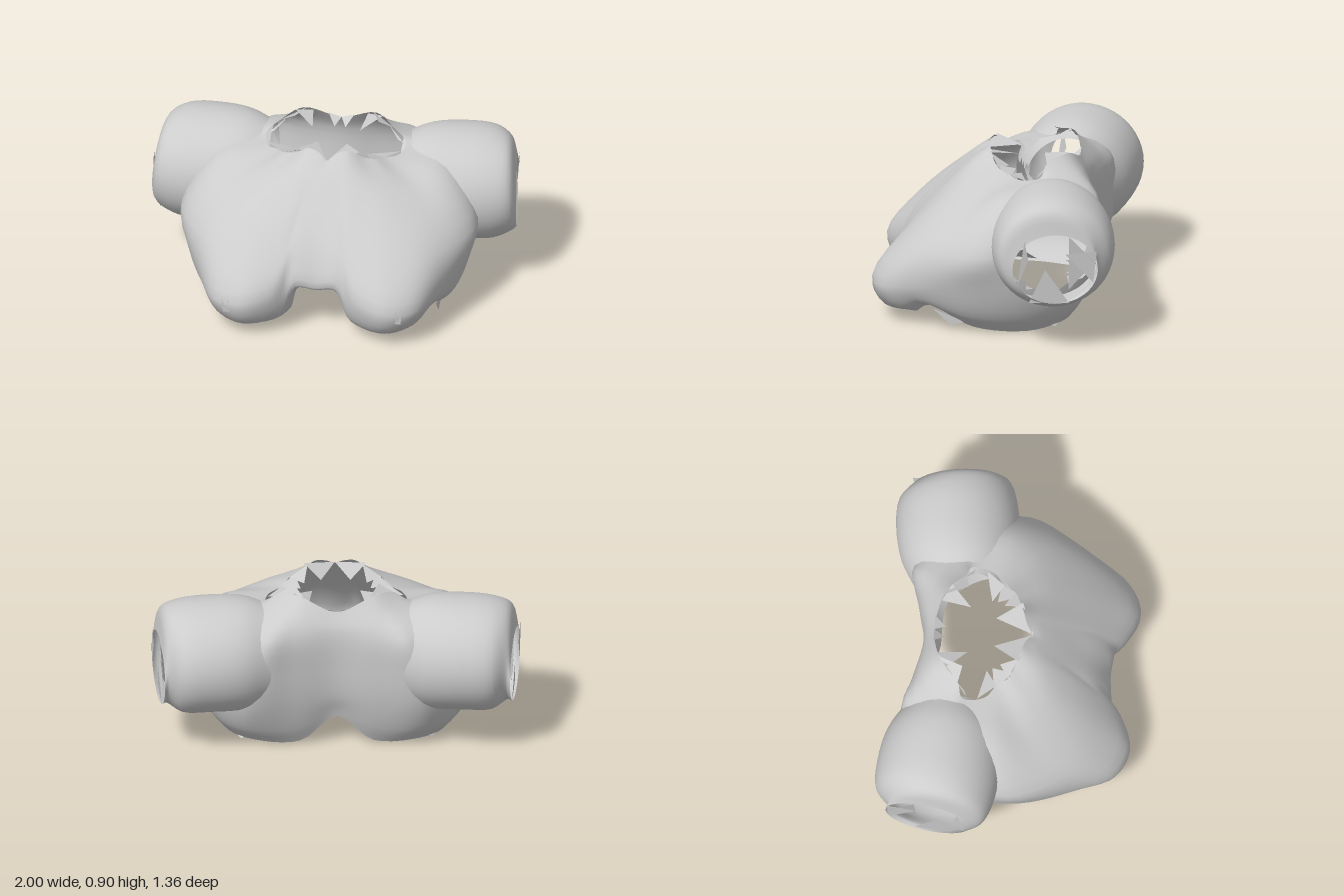
import * as THREE from 'three';

const cloth = new THREE.MeshStandardMaterial({ color: 0xcccccc, side: THREE.DoubleSide });
cloth.name = 'light grey shell';

// Smooth skin through a closed loop of columns; keep(x, y, z) cuts openings by triangle centre.
function loft(columns, perColumn, perRow, keep) {
  const curves = columns.map(c => new THREE.CatmullRomCurve3(c.map(p => new THREE.Vector3(...p))));
  const nu = columns.length * perColumn, nv = (columns[0].length - 1) * perRow;
  const pos = [], index = [];
  for (let j = 0; j <= nv; j++) {
    const ring = new THREE.CatmullRomCurve3(curves.map(c => c.getPoint(j / nv)), true);
    for (let i = 0; i < nu; i++) pos.push(...ring.getPoint(i / nu).toArray());
  }
  const mid = (t, k) => (pos[t[0] * 3 + k] + pos[t[1] * 3 + k] + pos[t[2] * 3 + k]) / 3;
  for (let j = 0; j < nv; j++) for (let i = 0; i < nu; i++) {
    const a = j * nu + i, b = j * nu + (i + 1) % nu, c = b + nu, d = a + nu;
    for (const t of [[a, b, c], [a, c, d]])
      if (keep(mid(t, 0), mid(t, 1), mid(t, 2))) index.push(...t);
  }
  const g = new THREE.BufferGeometry();
  g.setAttribute('position', new THREE.Float32BufferAttribute(pos, 3));
  g.setIndex(index);
  g.computeVertexNormals();
  return g;
}

// Torn pointed flaps, each a triangle of base, base, tip.
function flaps(list, side) {
  const pos = [];
  for (const t of list) {
    const pts = side > 0 ? t : [t[1], t[0], t[2]];
    for (const [x, y, z] of pts) pos.push(x * side, y, z);
  }
  const g = new THREE.BufferGeometry();
  g.setAttribute('position', new THREE.Float32BufferAttribute(pos, 3));
  g.computeVertexNormals();
  return g;
}

// Half-body columns from hem to neck, front centre round to the side
const frontColumns = [
  [[0, .24, .48], [0, .28, .54], [0, .45, .48], [0, .65, .32], [0, .8, .17], [0, .84, .11]],
  [[.1, .24, .46], [.11, .29, .55], [.11, .46, .485], [.09, .65, .32], [.07, .81, .16], [.05, .87, .08]],
  [[.17, .06, .42], [.2, .1, .55], [.22, .27, .61], [.2, .49, .47], [.16, .75, .22], [.11, .88, .06]],
  [[.4, .06, .44], [.39, .07, .61], [.39, .22, .675], [.38, .46, .5], [.31, .71, .22], [.19, .83, .03]],
  [[.53, .07, .42], [.54, .1, .54], [.545, .21, .61], [.54, .45, .45], [.42, .69, .18], [.25, .81, 0]],
  [[.6, .13, .34], [.62, .16, .41], [.65, .24, .42], [.67, .45, .32], [.53, .68, .11], [.29, .79, -.06]],
];
// ...and on from the side to the back centre
const backColumns = [
  [[.62, .02, .1], [.7, .1, .1], [.77, .28, .08], [.81, .47, .04], [.62, .73, -.04], [.36, .78, -.12]],
  [[.6, .0, -.2], [.68, .1, -.2], [.74, .28, -.2], [.74, .5, -.22], [.6, .75, -.26], [.38, .8, -.24]],
  [[.45, .02, -.38], [.5, .12, -.45], [.5, .3, -.53], [.46, .5, -.56], [.39, .72, -.54], [.31, .86, -.27]],
  [[.2, .02, -.4], [.22, .12, -.45], [.23, .3, -.5], [.23, .5, -.52], [.23, .72, -.51], [.2, .89, -.37]],
  [[0, .18, -.42], [0, .22, -.43], [0, .32, -.46], [0, .5, -.475], [0, .72, -.47], [0, .82, -.42]],
];

// Sleeve sections: x, centre y, centre z, half height, half depth
const sleeveSections = [
  [.36, .52, -.32, .27, .24],
  [.5, .53, -.33, .31, .31],
  [.68, .535, -.345, .315, .335],
  [.87, .53, -.355, .305, .32],
  [.97, .53, -.345, .26, .265],
  [1, .475, -.385, .195, .23],
];

const neckFlaps = [
  [[0, .84, .12], [.17, .87, .05], [.08, .84, -.09]],
  [[.15, .86, .05], [.25, .81, 0], [.17, .8, -.05]],
  [[.22, .82, .02], [.32, .78, -.07], [.19, .79, -.09]],
  [[.29, .79, -.06], [.37, .78, -.16], [.2, .77, -.12]],
  [[.37, .8, -.22], [.28, .86, -.3], [.34, .81, -.23]],
  [[.24, .89, -.34], [.15, .87, -.39], [.13, .85, -.23]],
  [[.07, .84, -.42], [0, .82, -.42], [.03, .79, -.36]],
  [[.18, .89, -.38], [.31, .86, -.27], [.23, .9, -.25]],
];
const cuffFlaps = [
  [[.97, .28, -.24], [.95, .28, -.46], [.97, .47, -.33]],
  [[.96, .66, -.46], [.95, .52, -.6], [.9, .34, -.45]],
  [[.95, .58, -.61], [.94, .4, -.59], [.96, .56, -.44]],
  [[1, .64, -.22], [1, .38, -.18], [.99, .53, -.24]],
];
const hemFlaps = [
  [[.63, .12, .32], [.63, .05, .14], [.63, .025, .22]],
  [[.6, .03, .02], [.6, .02, -.12], [.5, .1, -.05]],
  [[.56, .03, -.28], [.48, .04, -.36], [.52, .005, -.34]],
];
// Small star-shaped puckers at the front of each lobe
const puckers = [-1, 0, 1].map(k => {
  const x = .46 + .015 * k;
  return [[x - .012, .16, .655], [x + .012, .16, .655], [.46 + .035 * k, .24, .66]];
});

export function createModel() {
  const model = new THREE.Group();
  model.name = 'tornTorsoShell';
  const add = (name, geometry) => {
    const mesh = new THREE.Mesh(geometry, cloth);
    mesh.name = name;
    model.add(mesh);
  };

  // Torso, cut away where the sleeves join
  const half = [...frontColumns, ...backColumns];
  const mirrored = half.slice(1, -1).reverse().map(c => c.map(([x, y, z]) => [-x, y, z]));
  add('torso', loft([...half, ...mirrored], 5, 4, (x, y, z) =>
    Math.abs(x) < .44 || Math.hypot((y - .53) / .27, (z + .34) / .28) > 1));

  for (const side of [1, -1]) {
    const label = side > 0 ? 'left' : 'right';
    // Rounded sleeve, its cuff swept inward at the back and its root trimmed inside the torso
    const columns = Array.from({ length: 16 }, (_, i) => {
      const a = side * i / 16 * Math.PI * 2;
      return sleeveSections.map(([x, cy, cz, ry, rz]) => [
        side * (x - Math.max(0, x - .68) * .1 * (1 - Math.sin(a))),
        cy + ry * Math.cos(a), cz + rz * Math.sin(a)]);
    });
    add(label + 'Sleeve', loft(columns, 3, 4, (x, y, z) =>
      !(Math.abs(x) < .6 && y < .62 && z > -.4)));
    add(label + 'NeckFlaps', flaps(neckFlaps, side));
    add(label + 'CuffFlaps', flaps(cuffFlaps, side));
    add(label + 'HemFlaps', flaps(hemFlaps, side));
    add(label + 'Puckers', flaps(puckers, side));
  }
  return model;
}
